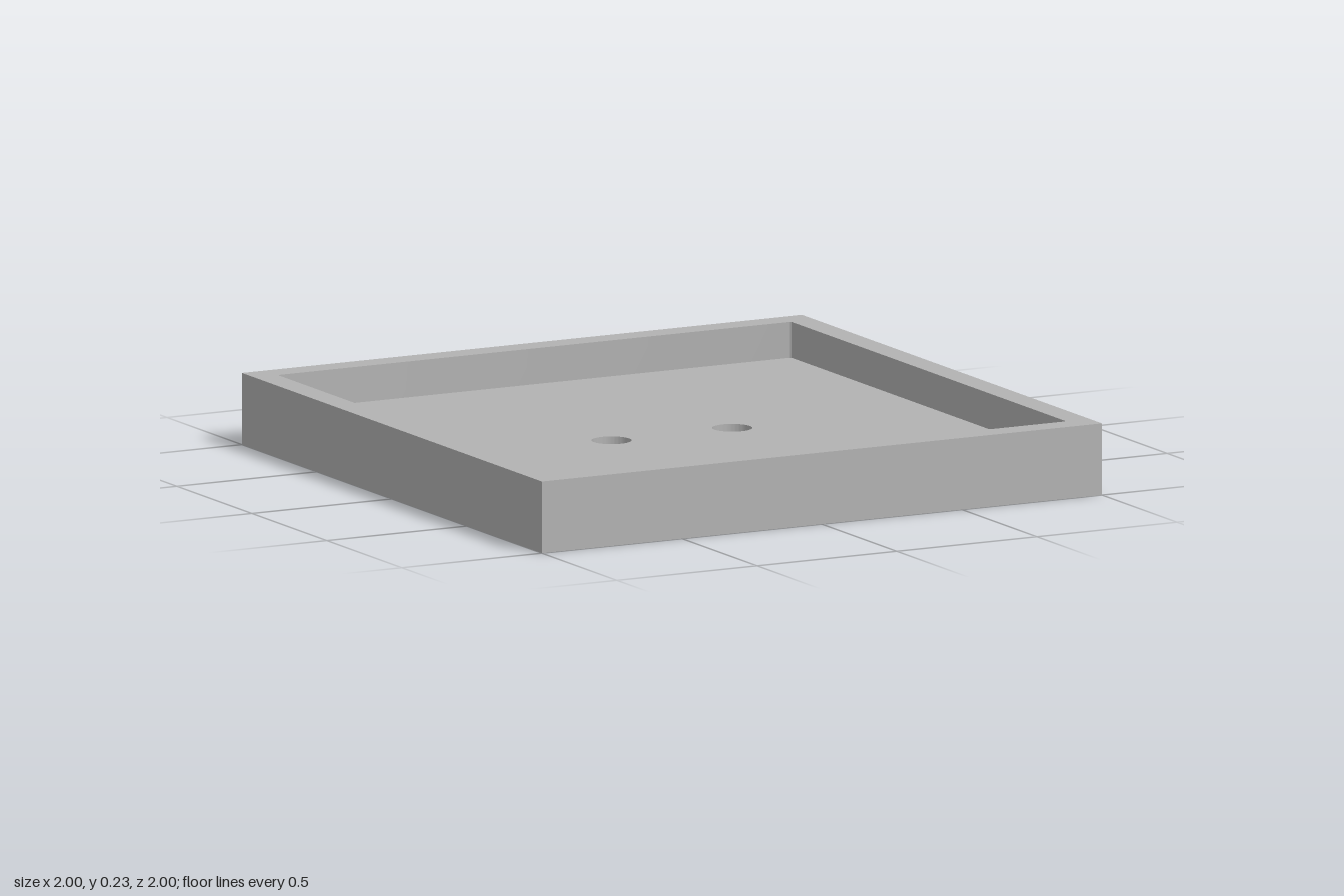
import * as THREE from 'three';
import { toCreasedNormals } from 'three/addons/utils/BufferGeometryUtils.js';

const HEIGHT = 0.23, FLOOR = 0.115, HALF = 1, INNER = 0.917, CORNER = 0.012;
const SEGMENTS = 32;

// Plan outlines: shape y is -z.
function roundedSquare(h, r) {
  const s = new THREE.Shape();
  s.moveTo(-h + r, -h);
  s.absarc(h - r, -h + r, r, -Math.PI / 2, 0);
  s.absarc(h - r, h - r, r, 0, Math.PI / 2);
  s.absarc(-h + r, h - r, r, Math.PI / 2, Math.PI);
  s.absarc(-h + r, -h + r, r, Math.PI, Math.PI * 1.5);
  return s;
}

function square(h) {
  return new THREE.Shape([[-h, -h], [h, -h], [h, h], [-h, h]].map(([x, y]) => new THREE.Vector2(x, y)));
}

function circle(x, z, r) {
  return new THREE.Shape().absarc(x, -z, r, 0, Math.PI * 2);
}

function withHoles(shape, holes) {
  const s = shape.clone();
  s.holes = holes;
  return s;
}

// Horizontal face at height y, facing up or down.
function cap(shape, y, down = false) {
  const geo = new THREE.ShapeGeometry(shape, SEGMENTS).rotateX(-Math.PI / 2).translate(0, y, 0);
  if (down) geo.index.array.reverse();
  geo.computeVertexNormals();
  return geo;
}

// Upright wall along an outline; inward walls line a pocket or a hole.
function wall(shape, y0, y1, inward = false) {
  const solid = new THREE.ExtrudeGeometry(shape, { depth: y1 - y0, bevelEnabled: false, curveSegments: SEGMENTS });
  solid.rotateX(-Math.PI / 2).translate(0, y0, 0);
  const { start, count } = solid.groups[1];
  const pos = solid.attributes.position;
  const points = [];
  for (let i = 0; i < count; i++) {
    points.push(new THREE.Vector3().fromBufferAttribute(pos, start + i));
  }
  if (inward) points.reverse();
  return toCreasedNormals(new THREE.BufferGeometry().setFromPoints(points), 0.6);
}

export function createModel() {
  const group = new THREE.Group();
  const grey = new THREE.MeshStandardMaterial({ color: 0xb2b2b2 });
  grey.name = 'grey';

  const add = (name, geometry) => {
    const mesh = new THREE.Mesh(geometry, grey);
    mesh.name = name;
    group.add(mesh);
  };

  const outer = square(HALF);
  const pocket = roundedSquare(INNER, CORNER);
  const holes = {
    leftScrewHole: circle(0.214, 0, 0.063),
    rightScrewHole: circle(-0.216, 0, 0.063),
    cableHole: circle(-0.586, 0.685, 0.194),
  };
  const cuts = Object.values(holes);

  // Tray shell
  add('outerWalls', wall(outer, 0, HEIGHT));
  add('rim', cap(withHoles(outer, [pocket]), HEIGHT));
  add('innerWalls', wall(pocket, FLOOR, HEIGHT, true));
  add('floor', cap(withHoles(pocket, cuts), FLOOR));
  add('underside', cap(withHoles(outer, cuts), 0, true));

  // Holes through the floor
  for (const [name, shape] of Object.entries(holes)) add(name, wall(shape, 0, FLOOR, true));

  return group;
}
